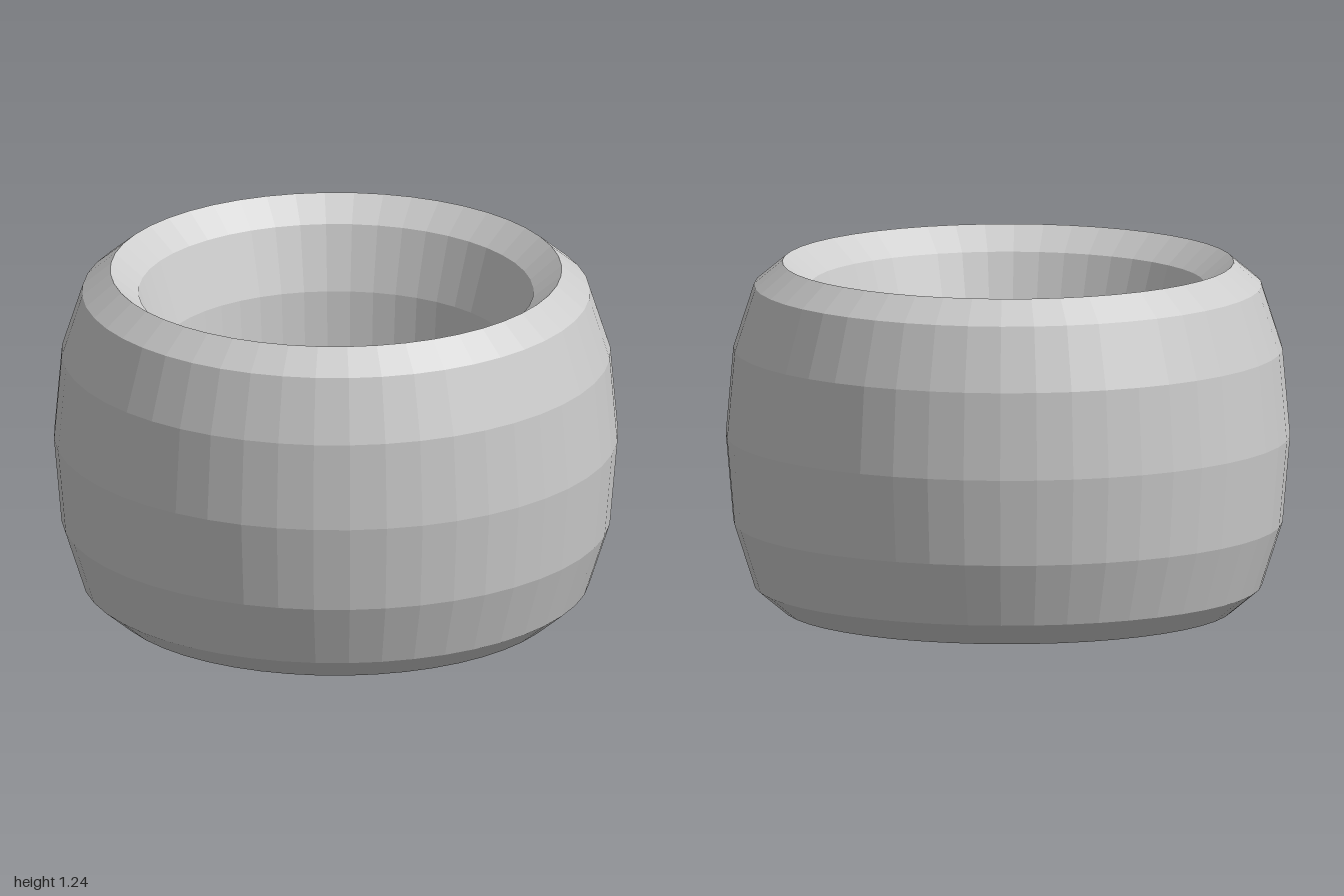
import * as THREE from 'three';

export function createModel() {
  const group = new THREE.Group();
  const height = 1.24, tube = 0.2;

  // Faceted ring: a 12-sided torus section stretched along the axis into a tall bead
  const geometry = new THREE.TorusGeometry(1 - tube, tube, 12, 48);
  geometry.rotateX(Math.PI / 2);
  geometry.scale(1, height / (2 * tube), 1);
  geometry.translate(0, height / 2, 0);

  const ring = new THREE.Mesh(
    geometry,
    new THREE.MeshStandardMaterial({ color: 0xcccccc, flatShading: true })
  );
  ring.name = 'ring';
  group.add(ring);
  return group;
}
